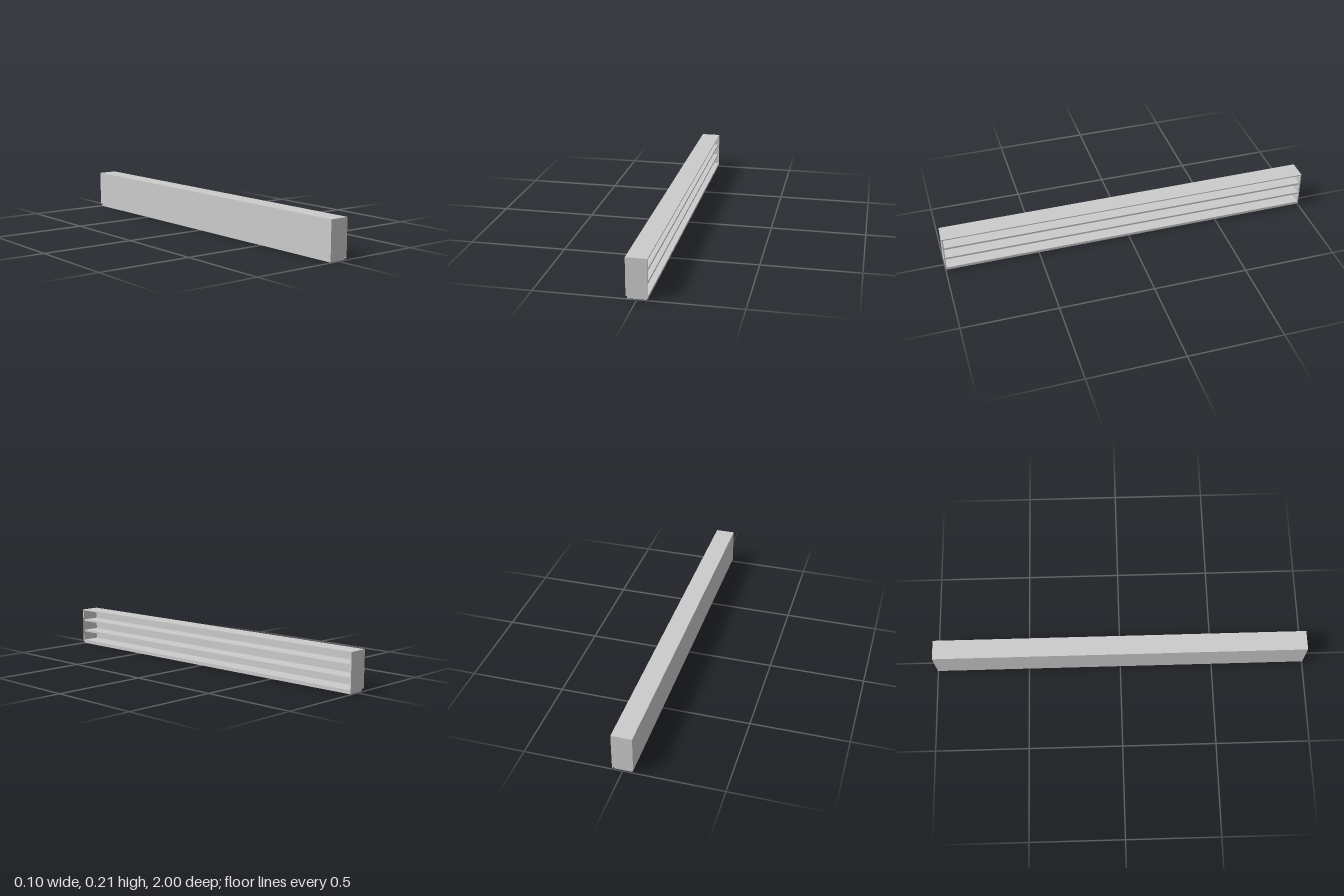
import * as THREE from 'three';

export function createModel() {
  const group = new THREE.Group();
  const material = new THREE.MeshStandardMaterial({ color: 0xcccccc, flatShading: true });

  // Box given by its limits on each axis
  const panel = (name, [x0, x1], [y0, y1], [z0, z1]) => {
    const mesh = new THREE.Mesh(new THREE.BoxGeometry(x1 - x0, y1 - y0, z1 - z0), material);
    mesh.position.set((x0 + x1) / 2, (y0 + y1) / 2, (z0 + z1) / 2);
    mesh.name = name;
    group.add(mesh);
  };

  const W = 0.0525, base = 0.015, top = 0.206, t = 0.006;
  const inner = [-1 + t, 1 - t];

  // Carcass, open towards +x
  panel('topPanel', [-W, W], [top - t, top], [-1, 1]);
  panel('bottomPanel', [-W, W], [base, base + t], inner);
  panel('backPanel', [-W, -W + t], [base + t, top - t], inner);
  for (const s of [-1, 1]) {
    panel(s > 0 ? 'frontEndPanel' : 'rearEndPanel', [-W, W], [base, top - t],
      s > 0 ? [1 - t, 1] : [-1, -1 + t]);
  }

  // Shelves, set back slightly from the open side
  for (const y of [0.076, 0.14]) {
    panel('shelf', [-W + t, W - 0.006], [y - 0.005, y + 0.005], inner);
  }

  // Recessed plinth and the lip hanging below the open edge
  panel('plinth', [-0.046, 0.045], [0, base], [-0.993, 0.993]);
  panel('lowerLip', [0.047, W], [0.008, base], [-1, 1]);

  return group;
}
